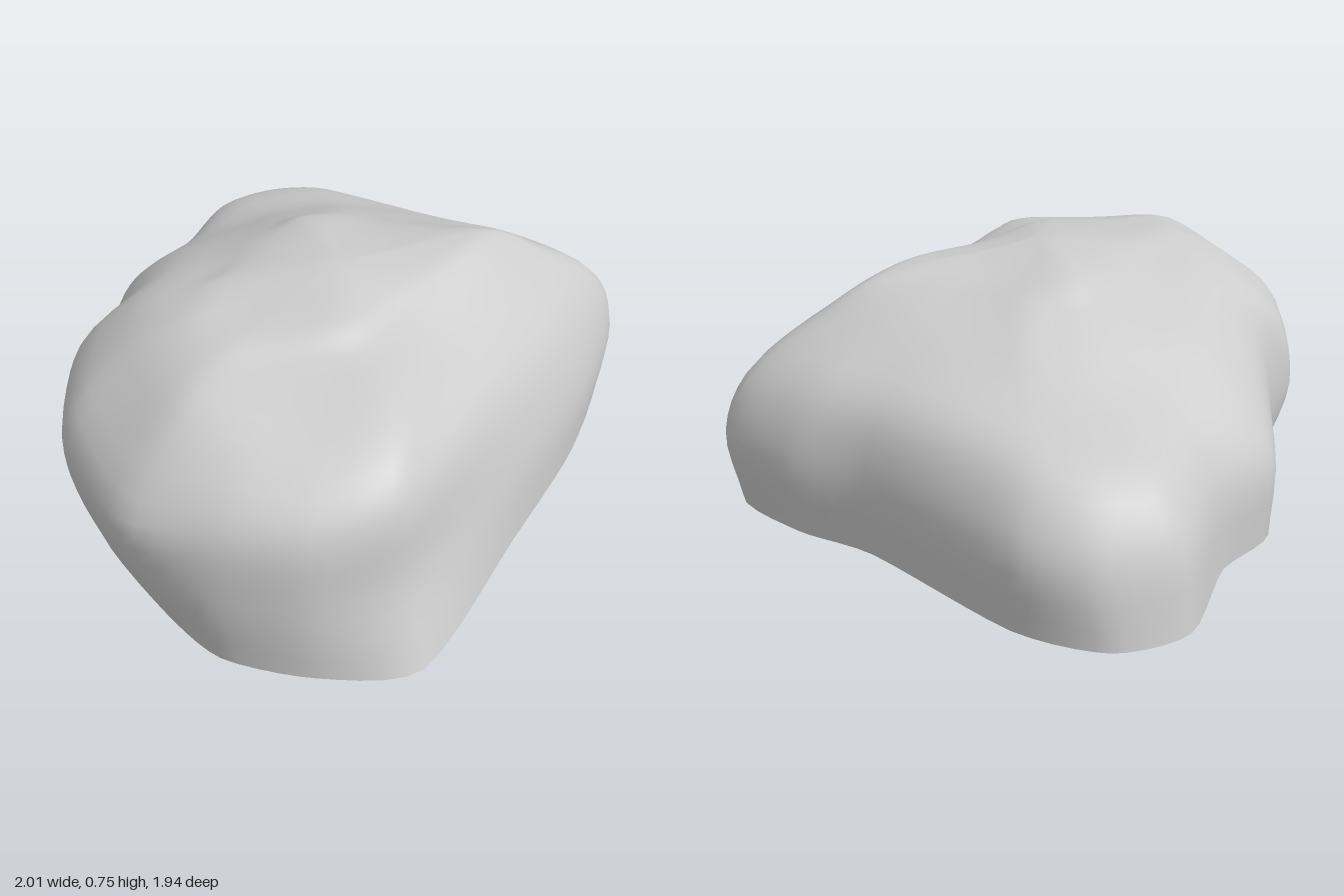
import * as THREE from 'three';

const V = (x, y, z) => new THREE.Vector3(x, y, z);

// Contours run from the back corner, along +x, round the front and back along -x.
const base = [
  [.36, -.93], [.60, -.58], [.79, -.13], [1, .395], [.85, .65], [.635, .82], [.40, .855], [.03, .845], [-.24, .71],
  [-.40, .53], [-.72, .31], [-.80, .07], [-1, -.2], [-.96, -.43], [-.73, -.60], [-.185, -.74], [.06, -.87],
].map(([x, z]) => V(x, 0, z));

const belly = [
  [.36, -.965], [.59, -.60], [.76, -.12], [.90, .38], [.82, .65], [.63, .84], [.39, .94], [-.02, .90], [-.305, .745],
  [-.385, .59], [-.71, .32], [-.78, .06], [-.95, -.2], [-.90, -.45], [-.73, -.605], [-.185, -.755], [.055, -.90],
].map(([x, z]) => V(x, .24, z));

const shoulder = [
  [.34, .42, -.89], [.51, .46, -.56], [.67, .49, -.11], [.86, .48, .36], [.79, .46, .62], [.62, .46, .80],
  [.38, .41, .95], [0, .44, .90], [-.28, .47, .70], [-.35, .47, .55], [-.61, .40, .29], [-.70, .38, .05],
  [-.83, .385, -.2], [-.79, .40, -.38], [-.64, .42, -.52], [-.17, .44, -.69], [.06, .44, -.82],
].map((p) => V(...p));

const rim = [
  [.28, .58, -.68], [.38, .61, -.46], [.51, .61, -.06], [.76, .59, .30], [.69, .59, .50], [.53, .61, .63],
  [.33, .62, .75], [0, .62, .70], [-.19, .62, .56], [-.27, .61, .44], [-.42, .56, .22], [-.49, .52, .04],
  [-.53, .50, -.17], [-.51, .50, -.28], [-.41, .52, -.38], [-.10, .56, -.53], [.08, .58, -.62],
].map((p) => V(...p));

const crown = [
  [.23, .68, -.53], [.29, .69, -.38], [.38, .68, -.05], [.46, .67, .18], [.44, .67, .29], [.36, .69, .43],
  [.27, .70, .55], [.08, .70, .55], [-.05, .69, .45], [-.10, .69, .32], [-.18, .69, .16], [-.23, .67, .05],
  [-.27, .64, -.06], [-.25, .64, -.14], [-.18, .66, -.23], [0, .66, -.36], [.12, .67, -.44],
].map((p) => V(...p));

// Nearly flat plateau above the crown
const summit = V(.15, .74, .05);
const plateau = crown.map((p) => p.clone().lerp(summit, .28).setY(.715 + .02 * p.z));

// Small lumps that fade out towards the ground and the flanks
function weather(p) {
  const fade = THREE.MathUtils.smoothstep(p.y, .4, .65);
  p.y += .005 * fade * (Math.sin(11 * p.x + 5 * p.z) + Math.sin(13 * p.z - 6 * p.x + 1));
  return p;
}

function createShell(columns, rows) {
  // Low tension keeps the corners of the outline crisp
  const contours = [base, belly, shoulder, rim, crown, plateau]
    .map((c) => new THREE.CatmullRomCurve3(c, true, 'catmullrom', .36));
  const positions = [];
  const index = [];
  for (let i = 0; i < columns; i++) {
    const knots = [...contours.map((c) => c.getPoint(i / columns)), summit];
    const rib = new THREE.CatmullRomCurve3(knots, false, 'centripetal');
    for (let j = 0; j < rows; j++) positions.push(...weather(rib.getPoint(j / rows)).toArray());
  }
  const pole = columns * rows;
  positions.push(...weather(summit.clone()).toArray());
  for (let i = 0; i < columns; i++) {
    const a = i * rows;
    const b = ((i + 1) % columns) * rows;
    for (let j = 0; j < rows - 1; j++) {
      index.push(a + j, a + j + 1, b + j, b + j, a + j + 1, b + j + 1);
    }
    index.push(a + rows - 1, pole, b + rows - 1);
  }
  const geometry = new THREE.BufferGeometry();
  geometry.setAttribute('position', new THREE.Float32BufferAttribute(positions, 3));
  geometry.setIndex(index);
  geometry.computeVertexNormals();
  return geometry;
}

export function createModel() {
  const group = new THREE.Group();
  group.name = 'boulder';
  // Hollow shell, open at the ground
  const material = new THREE.MeshStandardMaterial({ color: 0xcccccc, side: THREE.DoubleSide });
  const shell = new THREE.Mesh(createShell(85, 24), material);
  shell.name = 'rockShell';
  group.add(shell);
  return group;
}
